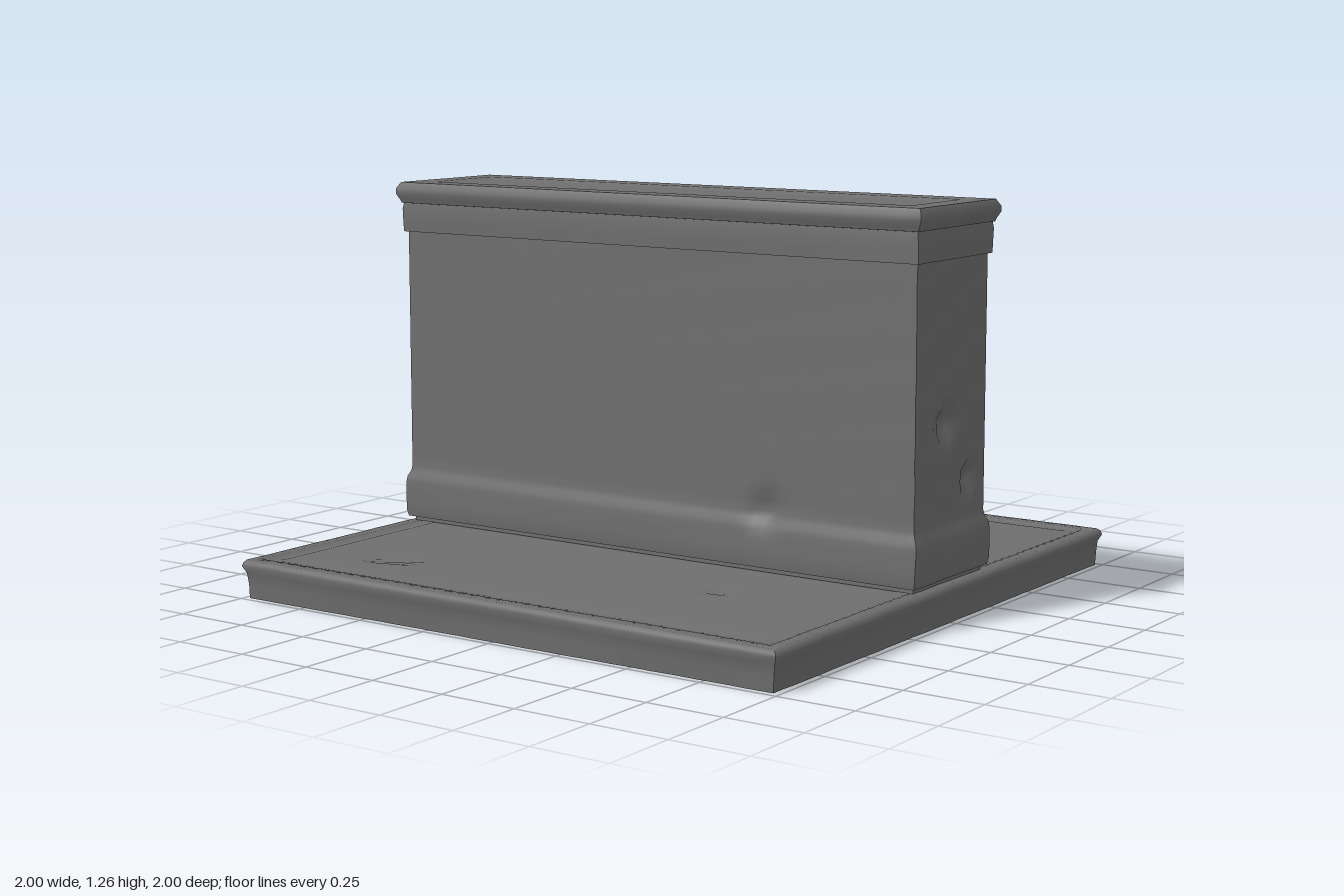
import * as THREE from 'three';
import { toCreasedNormals } from 'three/addons/utils/BufferGeometryUtils.js';

const material = new THREE.MeshStandardMaterial({ color: 0x6e6e6e, side: THREE.DoubleSide });

// Chips in the stone: centre, radius and push direction
const chips = [
  { at: [0.97, 0.61, 0.02], r: 0.07, push: [-0.04, 0, 0] },
  { at: [0.97, 0.43, -0.12], r: 0.06, push: [-0.04, 0, 0] },
  { at: [0.45, 0.32, 0.212], r: 0.08, push: [0, 0, -0.03] },
  { at: [0.7, 0.45, -0.212], r: 0.05, push: [0, 0, 0.02] },
  { at: [-0.97, 0.6, 0.05], r: 0.06, push: [0.03, 0, 0] },
  { at: [0.06, 0.125, -0.33], r: 0.06, push: [0, -0.015, 0] },
  { at: [-0.6, 0.125, -0.35], r: 0.06, push: [0, -0.015, 0] },
  { at: [-0.6, 0.125, 0.73], r: 0.06, push: [0, -0.015, 0] },
  { at: [0.46, 0.125, 0.48], r: 0.06, push: [0, -0.015, 0] },
];

// Small uneven wear that depends only on position
function wear(p) {
  const n = Math.sin(p.x * 23 + p.z * 31) * Math.sin(p.y * 37 + p.x * 17 - p.z * 13);
  p.x *= 1 + 0.002 * n;
  p.z *= 1 + 0.002 * n;
  for (const c of chips) {
    const d = p.distanceTo(new THREE.Vector3(...c.at));
    if (d < c.r) p.addScaledVector(new THREE.Vector3(...c.push), 1 - d / c.r);
  }
}

// Lofts rectangular rings [halfWidth, halfDepth, y] from bottom to top
function moulding(name, rings, step = 0.05) {
  const rows = [rings[0]];
  for (let i = 1; i < rings.length; i++) {
    const a = rings[i - 1], b = rings[i];
    const n = Math.max(1, Math.round(Math.hypot(b[0] - a[0], b[1] - a[1], b[2] - a[2]) / step));
    for (let k = 1; k <= n; k++) rows.push(a.map((v, j) => v + (b[j] - v) * k / n));
  }
  const corners = [[1, 1], [1, -1], [-1, -1], [-1, 1], [1, 1]];
  const nx = Math.round(2 * rings[0][0] / step), nz = Math.round(2 * rings[0][1] / step);
  const outline = [];
  for (let s = 0; s < 4; s++) {
    const n = s % 2 ? nx : nz;
    for (let k = 0; k < n; k++) {
      outline.push([0, 1].map(j => corners[s][j] + (corners[s + 1][j] - corners[s][j]) * k / n));
    }
  }
  const positions = [], index = [], count = outline.length;
  rows.forEach(([hx, hz, y], r) => {
    outline.forEach(([u, v], i) => {
      const p = new THREE.Vector3(u * hx, y, v * hz);
      wear(p);
      positions.push(p.x, p.y, p.z);
      if (r === 0) return;
      const j = (i + 1) % count, lo = (r - 1) * count, hi = r * count;
      index.push(lo + i, lo + j, hi + j, lo + i, hi + j, hi + i);
    });
  });
  const geometry = new THREE.BufferGeometry();
  geometry.setAttribute('position', new THREE.Float32BufferAttribute(positions, 3));
  geometry.setIndex(index);
  const mesh = new THREE.Mesh(toCreasedNormals(geometry, 0.9), material);
  mesh.name = name;
  return mesh;
}

export function createModel() {
  const group = new THREE.Group();
  group.name = 'stoneWallOnSlab';

  // Square floor slab, hollow underneath, with a shallow border on top
  group.add(moulding('floorSlab', [
    [0.979, 0.979, 0.003], [0.983, 0.983, 0.05], [0.988, 0.988, 0.085], [0.998, 0.998, 0.107],
    [0.994, 0.994, 0.118], [0.985, 0.985, 0.127], [0.95, 0.95, 0.127], [0.945, 0.945, 0.122],
    [0.91, 0.91, 0.122], [0.89, 0.89, 0.126], [0, 0, 0.126],
  ]));

  // Wall body rising smoothly out of its skirting, with a dark gap at the foot
  group.add(moulding('wallBody', [
    [0.965, 0.206, 0.128], [0.965, 0.206, 0.142], [0.979, 0.224, 0.144],
    [0.984, 0.228, 0.165], [0.985, 0.228, 0.2], [0.985, 0.227, 0.26], [0.982, 0.224, 0.28],
    [0.974, 0.216, 0.296], [0.97, 0.212, 0.315], [0.97, 0.212, 1.11],
  ], 0.035));

  // Flat band below the coping
  group.add(moulding('band', [
    [0.965, 0.208, 1.105], [0.979, 0.226, 1.105], [0.98, 0.227, 1.14], [0.981, 0.228, 1.18],
    [0.977, 0.224, 1.205],
  ]));

  // Overhanging coping with a slightly sunk top panel
  group.add(moulding('coping', [
    [0.972, 0.218, 1.198], [0.983, 0.23, 1.2], [0.988, 0.234, 1.212], [0.997, 0.243, 1.23],
    [0.997, 0.243, 1.247], [0.985, 0.231, 1.268], [0.91, 0.15, 1.268], [0.89, 0.13, 1.26],
    [0.76, 0, 1.26],
  ]));

  return group;
}
